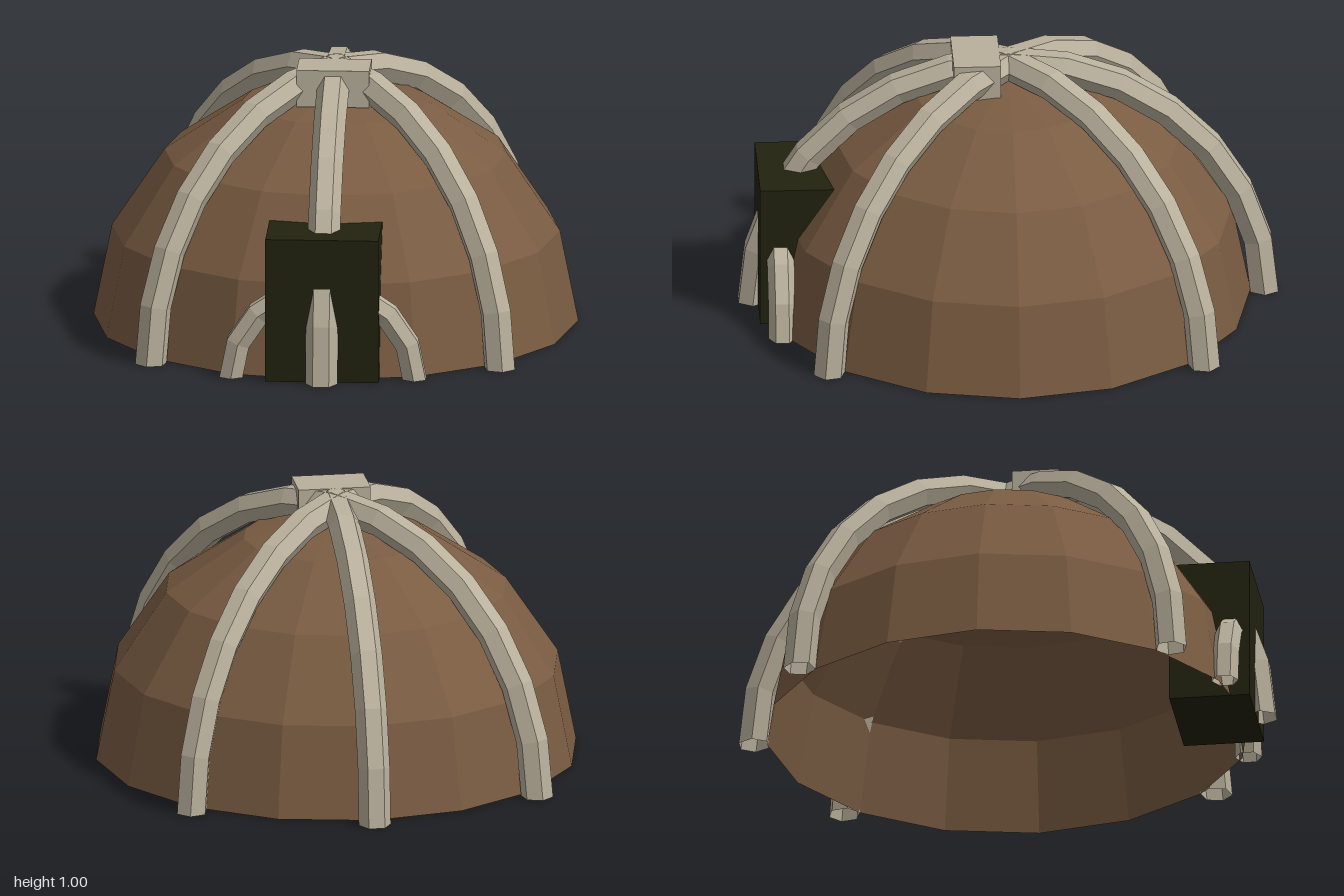
import * as THREE from 'three';

// Circular arc in the YZ plane (axis X), swept from angle a0 to a1 above +z
class ArcCurve extends THREE.Curve {
  constructor(radius, a0, a1) {
    super();
    Object.assign(this, { radius, a0, a1 });
  }
  getPoint(t, target = new THREE.Vector3()) {
    const a = this.a0 + (this.a1 - this.a0) * t;
    return target.set(0, Math.sin(a) * this.radius, Math.cos(a) * this.radius);
  }
}

function material(name, color, side = THREE.FrontSide) {
  const m = new THREE.MeshStandardMaterial({ color, side, flatShading: true });
  m.name = name;
  return m;
}

export function createModel() {
  const model = new THREE.Group();
  model.name = 'domeHut';

  const hide = material('brownHide', 0x7a5c42, THREE.DoubleSide);
  const bone = material('paleBone', 0xb9b09c, THREE.DoubleSide);
  const dark = material('darkOpening', 0x222210);

  const add = (name, geometry, mat, x = 0, y = 0, z = 0) => {
    const mesh = new THREE.Mesh(geometry, mat);
    mesh.name = name;
    mesh.position.set(x, y, z);
    model.add(mesh);
    return mesh;
  };

  // Faceted half-sphere shell, open underneath
  add('domeShell', new THREE.SphereGeometry(0.9, 16, 4, 0, Math.PI * 2, 0, Math.PI / 2), hide);

  // Six hexagonal ribs running from the ground to the apex
  const ribGeometry = new THREE.TubeGeometry(new ArcCurve(0.95, 0, Math.PI / 2), 7, 0.06, 6, false);
  const ribAngles = [0, 0.75, Math.PI - 0.75, Math.PI, Math.PI + 0.75, -0.75];
  ribAngles.forEach((angle, i) => {
    add(`rib${i + 1}`, ribGeometry, bone).rotation.y = angle;
  });

  // Block joining the ribs, just in front of the apex
  add('crownBlock', new THREE.BoxGeometry(0.27, 0.14, 0.175), bone, 0, 0.93, 0.12);

  // Dark doorway block with a small arch around it
  add('doorway', new THREE.BoxGeometry(0.42, 0.545, 0.3), dark, 0, 0.2725, 0.78);
  const archGeometry = new THREE.TubeGeometry(new ArcCurve(0.34, 0, Math.PI), 8, 0.05, 6, false);
  add('doorArch', archGeometry, bone, 0, 0, 0.855).rotation.y = Math.PI / 2;

  return model;
}
